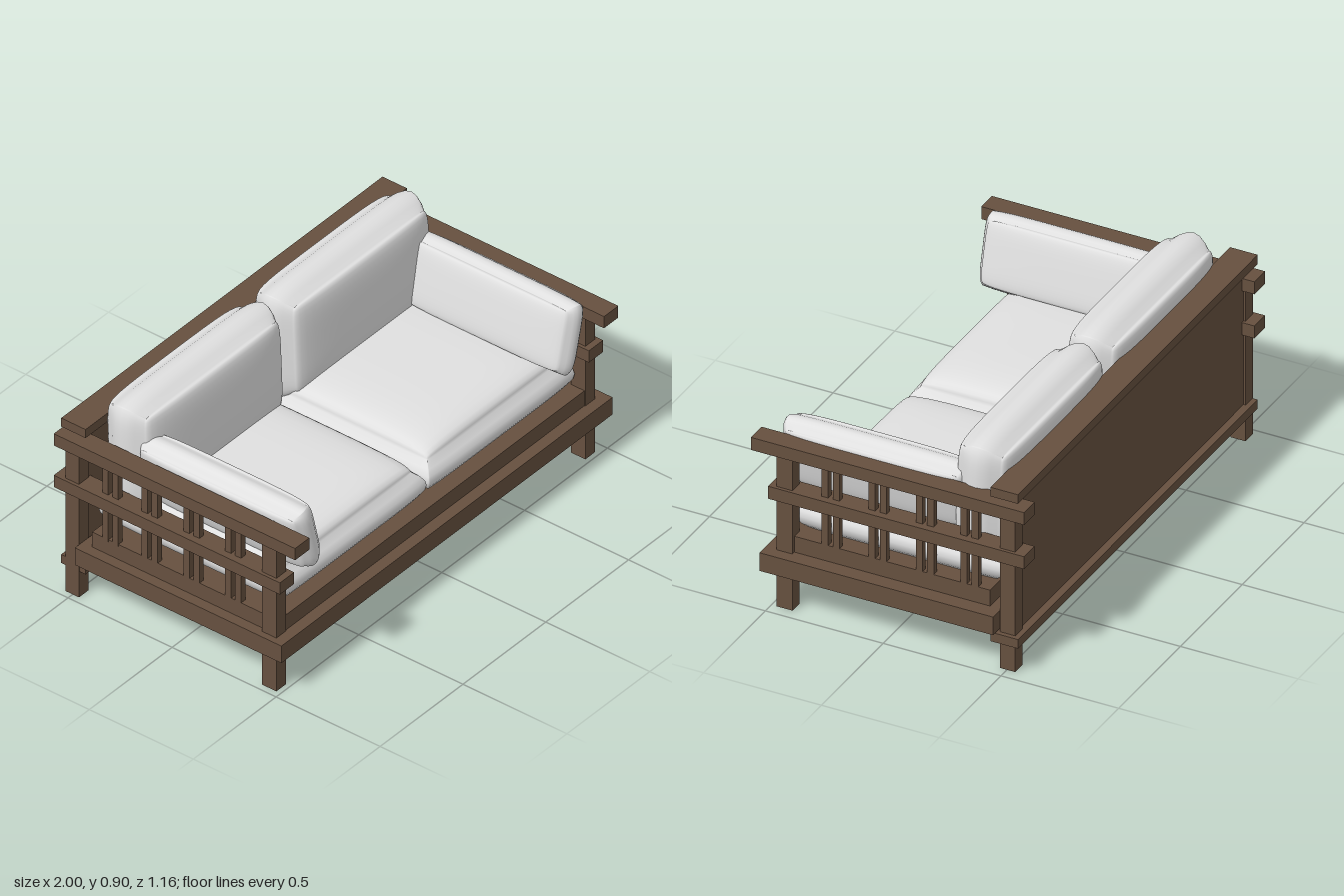
import * as THREE from 'three';
import { mergeVertices } from 'three/addons/utils/BufferGeometryUtils.js';

const wood = new THREE.MeshStandardMaterial({ color: 0x66503f });
wood.name = 'brown wood';
const fabric = new THREE.MeshStandardMaterial({ color: 0xe0e0e0 });
fabric.name = 'pale fabric';

// Box given by its limits on each axis
function board(parent, name, [x0, x1], [y0, y1], [z0, z1]) {
  const mesh = new THREE.Mesh(new THREE.BoxGeometry(x1 - x0, y1 - y0, z1 - z0), wood);
  mesh.position.set((x0 + x1) / 2, (y0 + y1) / 2, (z0 + z1) / 2);
  mesh.name = name;
  parent.add(mesh);
}

// Soft cushion lying in xz: half sizes a, t, b; edge = rim thickness ratio
function cushion(parent, name, a, t, b, edge, corner, position, rotation) {
  let geo = new THREE.BoxGeometry(2, 2, 2, 20, 6, 20);
  geo.deleteAttribute('uv');
  geo.deleteAttribute('normal');
  const p = geo.attributes.position;
  const inset = t * 0.32;
  for (let i = 0; i < p.count; i++) {
    // crowd the grid towards the rims
    const u = Math.sin(p.getX(i) * Math.PI / 2), y = p.getY(i), v = Math.sin(p.getZ(i) * Math.PI / 2);
    const puff = Math.sqrt(Math.max(0, (1 - u ** 4) * (1 - v ** 4)));
    const round = inset * y * y;
    p.setXYZ(i,
      u * (a * (1 - corner * v ** 6) - round * u ** 8),
      y * t * (edge + (1 - edge) * puff),
      v * (b * (1 - corner * u ** 6) - round * v ** 8));
  }
  geo = mergeVertices(geo, 1e-5);
  geo.computeVertexNormals();
  const mesh = new THREE.Mesh(geo, fabric);
  mesh.name = name;
  mesh.position.set(...position);
  mesh.rotation.set(...rotation);
  parent.add(mesh);
}

export function createModel() {
  const sofa = new THREE.Group();
  sofa.name = 'sofa';

  // Base platform and back
  board(sofa, 'baseFrame', [-1, 1], [0.17, 0.25], [-0.467, 0.525]);
  board(sofa, 'seatDeck', [-0.955, 0.935], [0.25, 0.32], [-0.42, 0.475]);
  board(sofa, 'backPanel', [-0.93, 0.91], [0.16, 0.76], [-0.526, -0.473]);
  board(sofa, 'backTopRail', [-0.97, 0.97], [0.76, 0.8], [-0.557, -0.44]);
  board(sofa, 'backBottomRail', [-0.97, 0.97], [0.12, 0.16], [-0.557, -0.44]);

  // Slatted arms with their legs
  for (const [side, x] of [['right', -0.943], ['left', 0.922]]) {
    const arm = new THREE.Group();
    arm.name = side + 'Arm';
    const rail = [x - 0.043, x + 0.043], leg = [x - 0.029, x + 0.029];
    board(arm, 'armrest', rail, [0.67, 0.725], [-0.58, 0.58]);
    board(arm, 'middleRail', rail, [0.475, 0.53], [-0.58, 0.507]);
    board(arm, 'frontLeg', leg, [0, 0.67], [0.411, 0.479]);
    board(arm, 'backLeg', leg, [0, 0.67], [-0.535, -0.47]);
    for (const z of [0.258, 0.058, -0.143, -0.332]) {
      for (const dz of [-0.024, 0.024]) {
        board(arm, 'slat', [x - 0.013, x + 0.013], [0.31, 0.67], [z + dz - 0.014, z + dz + 0.014]);
      }
    }
    sofa.add(arm);
  }

  // Mirrored pairs of cushions
  for (const s of [-1, 1]) {
    const side = s < 0 ? 'right' : 'left';
    cushion(sofa, side + 'SeatCushion', 0.447, 0.132, 0.445, 0.5, 0.015,
      [s * 0.447, 0.383, -0.005], [0, 0, 0]);
    cushion(sofa, side + 'BackCushion', 0.446, 0.122, 0.24, 0.66, 0.05,
      [s * 0.447, 0.662, -0.33], [Math.PI / 2 - 0.04, 0, 0]);
    cushion(sofa, side + 'ArmCushion', 0.155, 0.073, 0.4, 0.62, 0.045,
      [s * 0.795, 0.625, 0.115], [0, 0, Math.PI / 2 - s * 0.25]);
  }
  return sofa;
}
